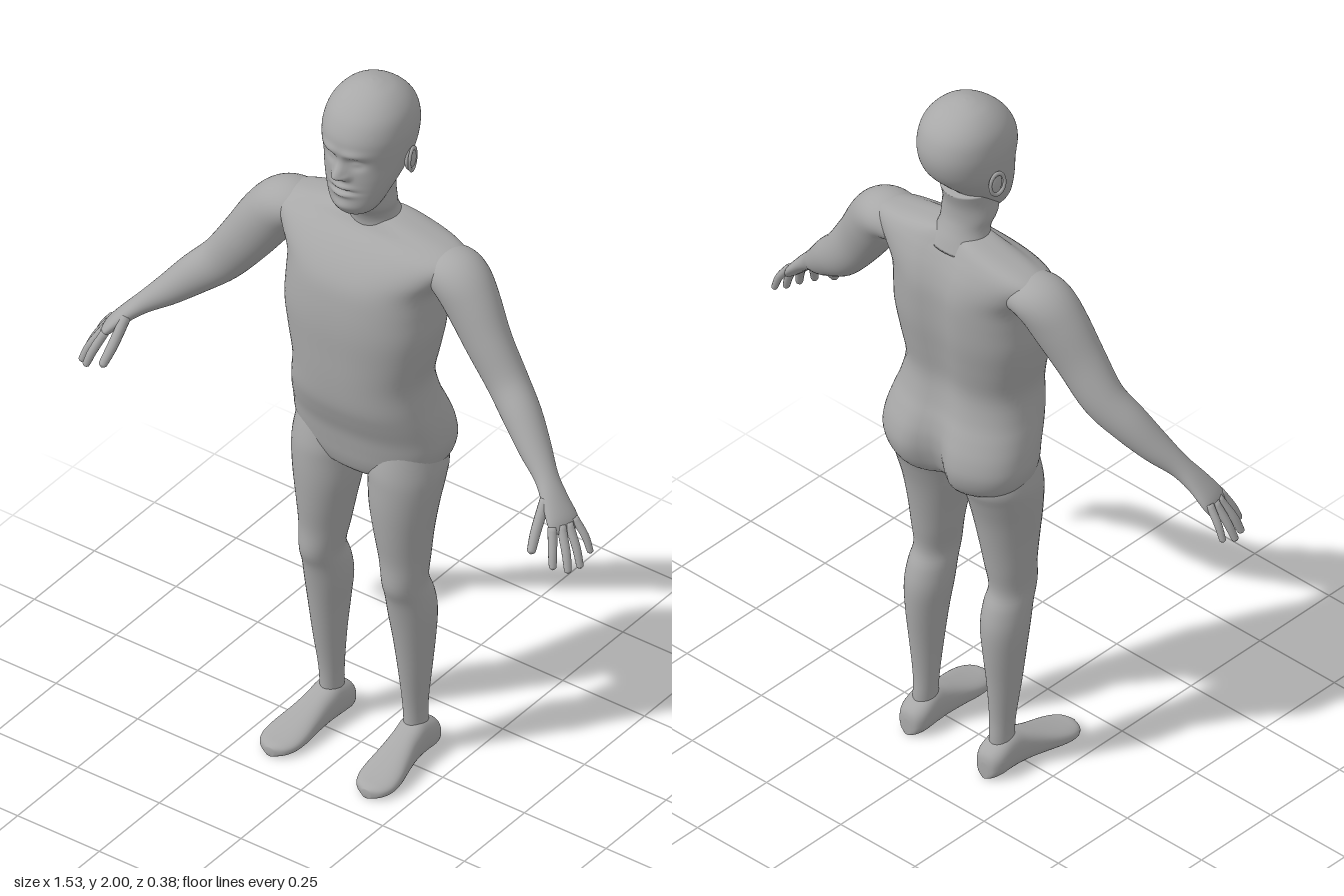
import * as THREE from 'three';

const V = (x, y, z) => new THREE.Vector3(x, y, z);

// Catmull-Rom interpolation of whole rows of numbers
function refine(rows, steps) {
  const out = [];
  const at = i => rows[Math.min(Math.max(i, 0), rows.length - 1)];
  for (let i = 0; i < rows.length - 1; i++) {
    for (let s = 0; s < steps; s++) {
      const t = s / steps;
      out.push(rows[i].map((p1, k) => {
        const p0 = at(i - 1)[k], p2 = at(i + 1)[k], p3 = at(i + 2)[k];
        return p1 + 0.5 * t * (p2 - p0 + t * (2 * p0 - 5 * p1 + 4 * p2 - p3 + t * (3 * (p1 - p2) + p3 - p0)));
      }));
    }
  }
  out.push(rows[rows.length - 1]);
  return out;
}

// Closed skin over rings { c, u, v } shaped as superellipses of power n
function skin(rings, seg, n, warp) {
  const pos = [], idx = [];
  const pw = a => Math.sign(a) * Math.abs(a) ** (2 / n);
  for (const { c, u, v } of rings) {
    for (let j = 0; j < seg; j++) {
      const a = (j + 0.5) / seg * Math.PI * 2;
      const p = c.clone().addScaledVector(u, pw(Math.cos(a))).addScaledVector(v, pw(Math.sin(a)));
      if (warp) warp(p, Math.sin(a));
      pos.push(p.x, p.y, p.z);
    }
  }
  const last = rings.length - 1, tip = rings.length * seg;
  pos.push(...rings[0].c.toArray(), ...rings[last].c.toArray());
  for (let j = 0; j < seg; j++) {
    const k = (j + 1) % seg;
    for (let i = 0; i < last; i++) {
      const a = i * seg + j, b = i * seg + k;
      idx.push(a, a + seg, b, b, a + seg, b + seg);
    }
    idx.push(tip, j, k, tip + 1, last * seg + k, last * seg + j);
  }
  // turn the faces outward if the enclosed volume is negative
  let vol = 0;
  const pt = i => V(pos[3 * i], pos[3 * i + 1], pos[3 * i + 2]);
  for (let i = 0; i < idx.length; i += 3) vol += pt(idx[i]).dot(pt(idx[i + 1]).cross(pt(idx[i + 2])));
  if (vol < 0) idx.reverse();
  const g = new THREE.BufferGeometry();
  g.setAttribute('position', new THREE.Float32BufferAttribute(pos, 3));
  g.setIndex(idx);
  g.computeVertexNormals();
  return g;
}

// Horizontal sections: [y, xMin, xMax, zFront, zBack]
const upright = (rows, steps, seg, n, warp) => skin(refine(rows, steps).map(([y, xa, xb, zf, zb]) => ({
  c: V((xa + xb) / 2, y, (zf + zb) / 2), u: V((xb - xa) / 2, 0, 0), v: V(0, 0, (zf - zb) / 2),
})), seg, n, warp);

// The same, symmetric about x = 0: [y, halfWidth, zFront, zBack]
const centred = (rows, ...rest) => upright(rows.map(([y, r, f, b]) => [y, -r, r, f, b]), ...rest);

// Sections square to a path: [x, y, z, thickness, width]
function limb(rows, steps, seg) {
  const r = refine(rows, steps);
  return skin(r.map(([x, y, z, a, b], i) => {
    const p = r[Math.max(i - 1, 0)], q = r[Math.min(i + 1, r.length - 1)];
    const t = V(q[0] - p[0], q[1] - p[1], q[2] - p[2]).normalize();
    const v = V(-0.25, 0, 1).addScaledVector(t, -V(-0.25, 0, 1).dot(t)).normalize();
    return { c: V(x, y, z), u: t.cross(v).multiplyScalar(a), v: v.multiplyScalar(b) };
  }), seg, 2);
}

// Finger with a rounded tip, from knuckle through joint to tip
function finger(a, b, c, r) {
  const d = V(...c).sub(V(...b)).normalize();
  const at = k => V(...c).addScaledVector(d, -k * r).toArray();
  return limb([[...a, r, r * 1.1], [...b, r, r], [...at(1), r * 0.85, r * 0.85],
    [...at(0.35), r * 0.65, r * 0.65], [...c, r * 0.1, r * 0.1]], 4, 12);
}

const bell = (d, s) => Math.exp(-((d / s) ** 2));

// Spine furrow and cleft
function shapeBack(p, side) {
  if (side >= 0) return;
  p.z += bell(p.x, 0.05) * (0.018 + 0.035 * bell(p.y - 0.93, 0.1)) * Math.min(1, -side * 1.5);
}

// Brow, eyes, nose, lips and chin
function shapeFace(p, side) {
  if (side <= 0) return;
  const x = Math.abs(p.x), y = p.y;
  let d = 0.008 * bell(x - 0.035, 0.035) * bell(y - 1.856, 0.013);
  d -= 0.016 * bell(x - 0.038, 0.022) * bell(y - 1.828, 0.016);
  d += 0.008 * bell(x - 0.038, 0.014) * bell(y - 1.826, 0.009);
  d += 0.03 * bell(x, 0.017) * bell(y - 1.79, y < 1.79 ? 0.012 : 0.032);
  d += 0.01 * bell(x - 0.017, 0.009) * bell(y - 1.785, 0.01);
  d += 0.009 * bell(x, 0.03) * (bell(y - 1.752, 0.008) + bell(y - 1.729, 0.008));
  d -= 0.007 * bell(x, 0.034) * bell(y - 1.74, 0.005);
  d += 0.006 * bell(x, 0.03) * bell(y - 1.69, 0.014);
  p.z += d * Math.min(1, side * 1.6);
}

export function createModel() {
  const model = new THREE.Group();
  model.name = 'figure';
  const skinGrey = new THREE.MeshStandardMaterial({ color: 0xa8a8a8 });
  skinGrey.name = 'skin grey';
  const add = (parent, name, geometry) => {
    const m = new THREE.Mesh(geometry, skinGrey);
    m.name = name;
    parent.add(m);
    return m;
  };

  add(model, 'torso', centred([
    [0.85, 0.05, 0, -0.09], [0.865, 0.13, 0.045, -0.145], [0.9, 0.195, 0.062, -0.183],
    [0.95, 0.217, 0.072, -0.2], [1, 0.216, 0.082, -0.195], [1.05, 0.207, 0.1, -0.177],
    [1.1, 0.195, 0.115, -0.157], [1.17, 0.185, 0.122, -0.145], [1.25, 0.2, 0.125, -0.155],
    [1.33, 0.213, 0.127, -0.167], [1.4, 0.212, 0.122, -0.172], [1.46, 0.215, 0.11, -0.172],
    [1.51, 0.25, 0.082, -0.162], [1.55, 0.277, 0.045, -0.147], [1.575, 0.245, 0.01, -0.135],
    [1.595, 0.16, -0.005, -0.125], [1.61, 0.085, -0.015, -0.115], [1.615, 0.05, -0.03, -0.1],
  ], 4, 64, 2.4, shapeBack));

  add(model, 'neck', centred([
    [1.57, 0.1, 0, -0.13], [1.6, 0.076, 0.002, -0.12], [1.63, 0.068, 0.014, -0.108],
    [1.66, 0.073, 0.035, -0.1], [1.7, 0.07, 0.045, -0.1], [1.74, 0.07, 0.04, -0.11],
  ], 4, 40, 2));

  add(model, 'head', centred([
    [1.655, 0.02, 0.05, 0], [1.663, 0.048, 0.068, -0.03], [1.69, 0.068, 0.081, -0.05],
    [1.73, 0.085, 0.083, -0.08], [1.77, 0.098, 0.084, -0.12], [1.81, 0.107, 0.084, -0.155],
    [1.85, 0.112, 0.089, -0.172], [1.89, 0.113, 0.088, -0.175], [1.93, 0.105, 0.07, -0.164],
    [1.96, 0.087, 0.043, -0.142], [1.983, 0.06, 0.01, -0.11], [1.996, 0.028, -0.022, -0.075],
    [2, 0.002, -0.046, -0.05],
  ], 9, 96, 2.1, shapeFace));

  // One side is built, then mirrored
  const side = new THREE.Group();
  side.name = 'leftSide';

  const ear = add(side, 'ear', new THREE.SphereGeometry(1, 20, 14));
  ear.scale.set(0.01, 0.033, 0.021);
  ear.position.set(0.109, 1.8, -0.057);
  const rim = add(side, 'earRim', new THREE.TorusGeometry(0.021, 0.0045, 8, 28));
  rim.scale.set(1, 1.5, 1);
  rim.rotation.set(0, Math.PI / 2 + 0.25, 0);
  rim.position.set(0.116, 1.802, -0.057);

  add(side, 'leg', upright([
    [0.97, 0.03, 0.2, 0.05, -0.13], [0.9, 0.015, 0.213, 0.066, -0.15], [0.85, 0.022, 0.212, 0.07, -0.135],
    [0.78, 0.03, 0.203, 0.07, -0.115], [0.7, 0.045, 0.192, 0.064, -0.1], [0.62, 0.06, 0.185, 0.055, -0.088],
    [0.55, 0.073, 0.18, 0.056, -0.08], [0.5, 0.07, 0.184, 0.04, -0.098], [0.44, 0.07, 0.186, 0.028, -0.11],
    [0.36, 0.08, 0.18, 0.015, -0.107], [0.26, 0.09, 0.171, 0, -0.096], [0.16, 0.097, 0.16, -0.015, -0.088],
    [0.1, 0.1, 0.157, -0.018, -0.09], [0.05, 0.1, 0.16, -0.015, -0.09],
  ], 4, 40, 2));

  // Foot sections along z: [z, xCentre, halfWidth, top]
  const foot = refine([
    [-0.122, 0.13, 0.012, 0.045], [-0.115, 0.13, 0.03, 0.068], [-0.09, 0.13, 0.042, 0.088],
    [-0.045, 0.131, 0.042, 0.105], [0, 0.134, 0.042, 0.09], [0.05, 0.139, 0.048, 0.07],
    [0.1, 0.144, 0.055, 0.052], [0.14, 0.147, 0.053, 0.04], [0.168, 0.148, 0.038, 0.033],
    [0.182, 0.148, 0.012, 0.024],
  ], 4).map(([z, x, w, h]) => ({ c: V(x, h / 2, z), u: V(w, 0, 0), v: V(0, h / 2, 0) }));
  add(side, 'foot', skin(foot, 32, 2.5));

  add(side, 'arm', limb([
    [0.19, 1.515, -0.06, 0.045, 0.06], [0.235, 1.52, -0.055, 0.06, 0.075], [0.275, 1.502, -0.048, 0.071, 0.076],
    [0.315, 1.452, -0.04, 0.074, 0.068], [0.37, 1.37, -0.028, 0.068, 0.057], [0.435, 1.283, -0.018, 0.06, 0.051],
    [0.5, 1.222, 0.008, 0.052, 0.049], [0.56, 1.165, 0.037, 0.04, 0.042], [0.615, 1.118, 0.065, 0.027, 0.032],
    [0.655, 1.08, 0.085, 0.021, 0.037], [0.69, 1.04, 0.1, 0.017, 0.045], [0.705, 1.015, 0.107, 0.01, 0.04],
  ], 5, 40));

  // Knuckle, middle joint, tip, radius
  const fingers = {
    indexFinger: [[0.685, 1.035, 0.135], [0.704, 0.985, 0.16], [0.716, 0.942, 0.176], 0.0115],
    middleFinger: [[0.697, 1.035, 0.115], [0.728, 0.98, 0.137], [0.746, 0.93, 0.152], 0.0115],
    ringFinger: [[0.705, 1.035, 0.096], [0.737, 0.982, 0.107], [0.758, 0.93, 0.117], 0.011],
    littleFinger: [[0.707, 1.04, 0.075], [0.738, 0.997, 0.072], [0.757, 0.95, 0.072], 0.01],
    thumb: [[0.642, 1.085, 0.105], [0.648, 1.022, 0.152], [0.657, 0.972, 0.188], 0.0135],
  };
  for (const [name, f] of Object.entries(fingers)) add(side, name, finger(...f));

  const mirrored = side.clone();
  mirrored.name = 'rightSide';
  mirrored.scale.x = -1;
  model.add(side, mirrored);
  return model;
}
